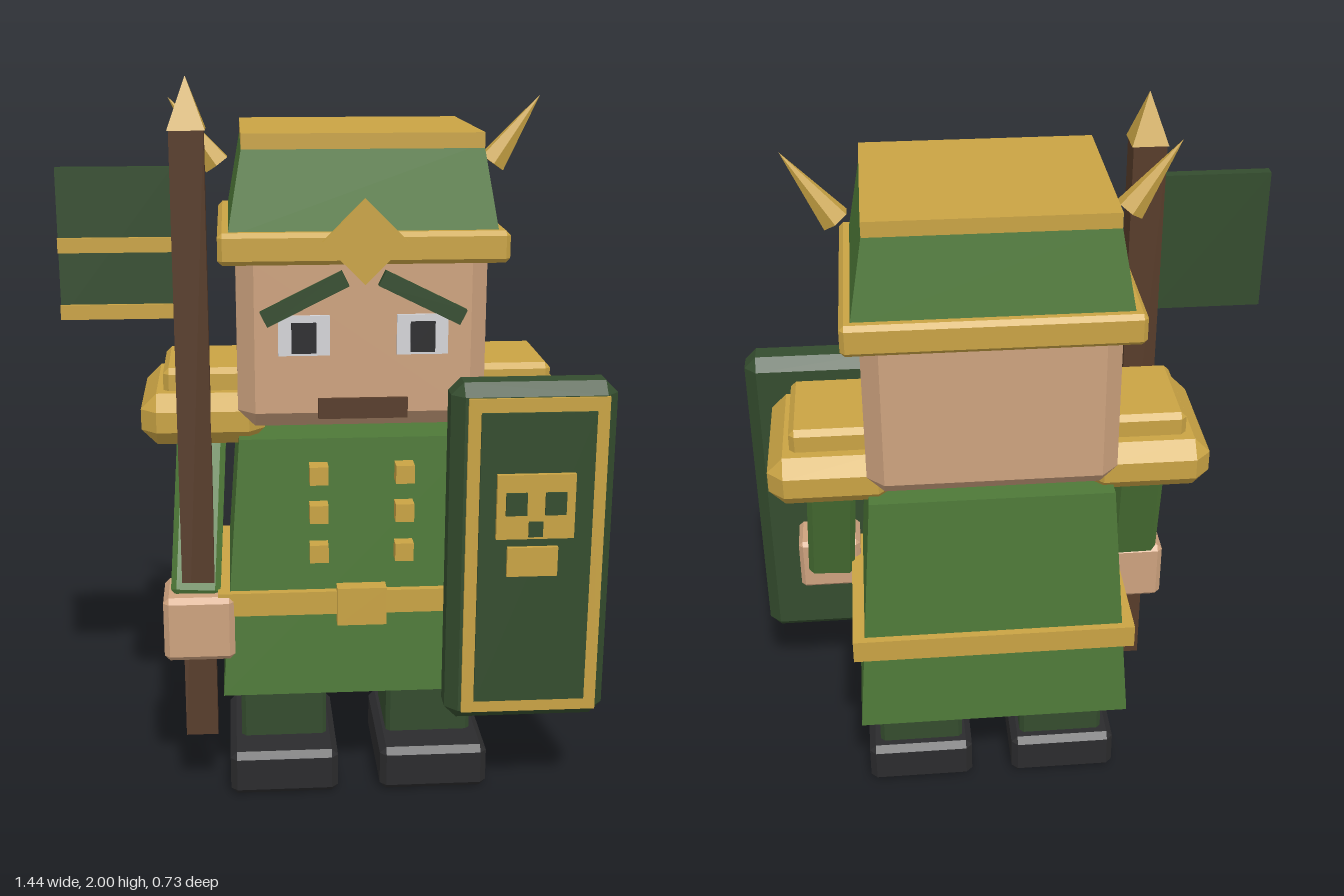
import * as THREE from 'three';
import { ConvexGeometry } from 'three/addons/geometries/ConvexGeometry.js';

const CX = 0.056, CZ = -0.043; // centre of the body

function makeMaterial(name, color) {
  const m = new THREE.MeshStandardMaterial({ color });
  m.name = name;
  return m;
}

// Box with all edges cut off at distance b
function chamferBox(w, h, d, b) {
  if (!b) return new THREE.BoxGeometry(w, h, d);
  const pts = [];
  const x = w / 2, y = h / 2, z = d / 2;
  for (const i of [-1, 1]) for (const j of [-1, 1]) for (const k of [-1, 1]) {
    pts.push(
      new THREE.Vector3(i * x, j * (y - b), k * (z - b)),
      new THREE.Vector3(i * (x - b), j * y, k * (z - b)),
      new THREE.Vector3(i * (x - b), j * (y - b), k * z));
  }
  return new ConvexGeometry(pts);
}

// Box with different widths and depths at the bottom and the top
function frustum(wBottom, dBottom, wTop, dTop, h, openBottom) {
  const g = new THREE.BoxGeometry(1, h, 1);
  const p = g.attributes.position;
  for (let i = 0; i < p.count; i++) {
    const top = p.getY(i) > 0;
    p.setX(i, p.getX(i) * (top ? wTop : wBottom));
    p.setZ(i, p.getZ(i) * (top ? dTop : dBottom));
  }
  if (openBottom) {
    const index = Array.from(g.index.array);
    index.splice(18, 6);
    g.setIndex(index);
    g.clearGroups();
  }
  const flat = g.toNonIndexed();
  flat.computeVertexNormals();
  return flat;
}

export function createModel() {
  const root = new THREE.Group();
  root.name = 'soldier';

  const green = makeMaterial('green', 0x4e7938);
  const darkGreen = makeMaterial('dark green', 0x344c2e);
  const gold = makeMaterial('gold', 0xc9a344);
  const skin = makeMaterial('skin', 0xcda27e);
  const brown = makeMaterial('brown', 0x573c2a);
  const black = makeMaterial('black', 0x2b2b2d);
  const white = makeMaterial('white', 0xd4d4d8);

  function add(name, geometry, material, x, y, z) {
    const m = new THREE.Mesh(geometry, material);
    m.name = name;
    m.position.set(x, y, z);
    root.add(m);
    return m;
  }
  // Box given by its limits on each axis
  function box(name, mat, [x0, x1], [y0, y1], [z0, z1], b = 0) {
    return add(name, chamferBox(x1 - x0, y1 - y0, z1 - z0, b), mat,
      (x0 + x1) / 2, (y0 + y1) / 2, (z0 + z1) / 2);
  }
  // Limits placed at a distance from the body's middle, on side s
  const side = (s, a, b) => s > 0 ? [CX + a, CX + b] : [CX - b, CX - a];

  // Tunic, belt and buckle
  add('tunic', frustum(0.76, 0.53, 0.65, 0.466, 0.73, true), green, CX, 0.695, CZ);
  box('belt', gold, [CX - 0.39, CX + 0.39], [0.57, 0.636], [CZ - 0.273, CZ + 0.273]);
  box('buckle', gold, [CX - 0.067, CX + 0.067], [0.545, 0.652], [0.2, 0.252]);

  // Parts on both sides
  for (const s of [-1, 1]) {
    box('leg', darkGreen, side(s, 0.087, 0.332), [0.12, 0.45], [-0.163, 0.085], 0.012);
    box('boot', black, side(s, 0.06, 0.366), [0.003, 0.133], [-0.2, 0.2], 0.018);
    box('shoulderPad', gold, side(s, 0.255, 0.585), [1.035, 1.175], [-0.253, 0.172], 0.042);
    box('shoulderPadTop', gold, side(s, 0.25, 0.525), [1.16, 1.235], [-0.185, 0.105], 0.015);
    for (const y of [0.97, 0.862, 0.75]) {
      box('button', gold, side(s, 0.09, 0.14), [y - 0.025, y + 0.025], [0.17, 0.243]);
    }

    // Arm leaning forward and a little outward
    const shoulder = new THREE.Vector3(CX + s * 0.425, 1.06, -0.045);
    const wrist = new THREE.Vector3(CX + s * 0.452, 0.6, 0.147);
    const dir = shoulder.clone().sub(wrist);
    const mid = shoulder.clone().add(wrist).multiplyScalar(0.5);
    const arm = add('arm', chamferBox(0.135, dir.length(), 0.135, 0.015), green, mid.x, mid.y, mid.z);
    arm.quaternion.setFromUnitVectors(new THREE.Vector3(0, 1, 0), dir.normalize());

    // Face
    box('eye', white, side(s, 0.087, 0.22), [1.3, 1.405], [0.235, 0.248]);
    box('pupil', black, side(s, 0.122, 0.186), [1.307, 1.387], [0.247, 0.254]);
    const brow = add('eyebrow', new THREE.BoxGeometry(0.235, 0.042, 0.03), darkGreen,
      CX + s * 0.152, 1.45, 0.25);
    brow.rotation.z = -s * 0.46;

    // Helmet horn
    const base = new THREE.Vector3(CX + s * 0.37, 1.76, -0.04);
    const tip = new THREE.Vector3(CX + s * 0.496, 1.938, -0.04);
    const axis = tip.clone().sub(base);
    const centre = base.clone().add(tip).multiplyScalar(0.5);
    const cone = new THREE.ConeGeometry(0.04, axis.length(), 6).toNonIndexed();
    cone.computeVertexNormals();
    const horn = add('horn', cone, gold, centre.x, centre.y, centre.z);
    horn.quaternion.setFromUnitVectors(new THREE.Vector3(0, 1, 0), axis.normalize());
  }

  // Head
  box('head', skin, [CX - 0.326, CX + 0.326], [1.1, 1.585], [-0.32, 0.24], 0.045);
  box('mouth', brown, [CX - 0.117, CX + 0.117], [1.131, 1.185], [0.235, 0.252]);

  // Helmet
  box('helmetBrim', gold, [CX - 0.371, CX + 0.371], [1.54, 1.622], [CZ - 0.324, CZ + 0.324], 0.012);
  add('helmetCrown', frustum(0.69, 0.595, 0.61, 0.522, 0.225), green, CX, 1.7225, CZ);
  box('helmetCap', gold, [CX - 0.307, CX + 0.307], [1.823, 1.862], [CZ - 0.264, CZ + 0.264]);
  const badge = add('helmetDiamond', new THREE.BoxGeometry(0.153, 0.153, 0.018), gold, CX, 1.6, 0.287);
  badge.rotation.z = Math.PI / 4;

  // Hands
  box('rightHand', skin, [-0.483, -0.29], [0.445, 0.628], [0.065, 0.243], 0.015);
  box('leftHand', skin, [0.42, 0.6], [0.53, 0.69], [0.09, 0.22], 0.012);

  // Spear with banner
  box('spearShaft', brown, [-0.431, -0.343], [0.2, 1.87], [0.106, 0.196]);
  const point = new THREE.ConeGeometry(0.068, 0.132, 4, 1).toNonIndexed();
  point.rotateY(Math.PI / 4);
  point.computeVertexNormals();
  add('spearPoint', point, gold, -0.387, 1.934, 0.151);
  box('banner', darkGreen, [-0.72, -0.425], [1.39, 1.775], [0.135, 0.166]);
  for (const y of [1.388, 1.561]) {
    box('bannerStripe', gold, [-0.721, -0.425], [y, y + 0.038], [0.15, 0.176]);
  }

  // Shield with gold border
  box('shield', darkGreen, [0.28, 0.718], [0.283, 1.235], [0.208, 0.33], 0.033);
  const border = new THREE.Shape();
  border.moveTo(0.321, 0.315).lineTo(0.69, 0.315).lineTo(0.69, 1.2).lineTo(0.321, 1.2).closePath();
  const hole = new THREE.Path();
  hole.moveTo(0.354, 0.35).lineTo(0.354, 1.163).lineTo(0.656, 1.163).lineTo(0.656, 0.35).closePath();
  border.holes.push(hole);
  add('shieldBorder', new THREE.ExtrudeGeometry(border, { depth: 0.013, bevelEnabled: false }),
    gold, 0, 0, 0.325);
  box('shieldPanel', darkGreen, [0.354, 0.656], [0.35, 1.163], [0.325, 0.345]);

  // Skull emblem
  box('emblemSkull', gold, [0.398, 0.605], [0.823, 1.0], [0.34, 0.359]);
  box('emblemJaw', gold, [0.43, 0.565], [0.717, 0.798], [0.34, 0.357]);
  for (const x of [0.421, 0.525]) {
    box('emblemEye', darkGreen, [x, x + 0.056], [0.89, 0.952], [0.357, 0.365]);
  }
  box('emblemNose', darkGreen, [0.483, 0.521], [0.83, 0.872], [0.357, 0.364]);

  return root;
}
